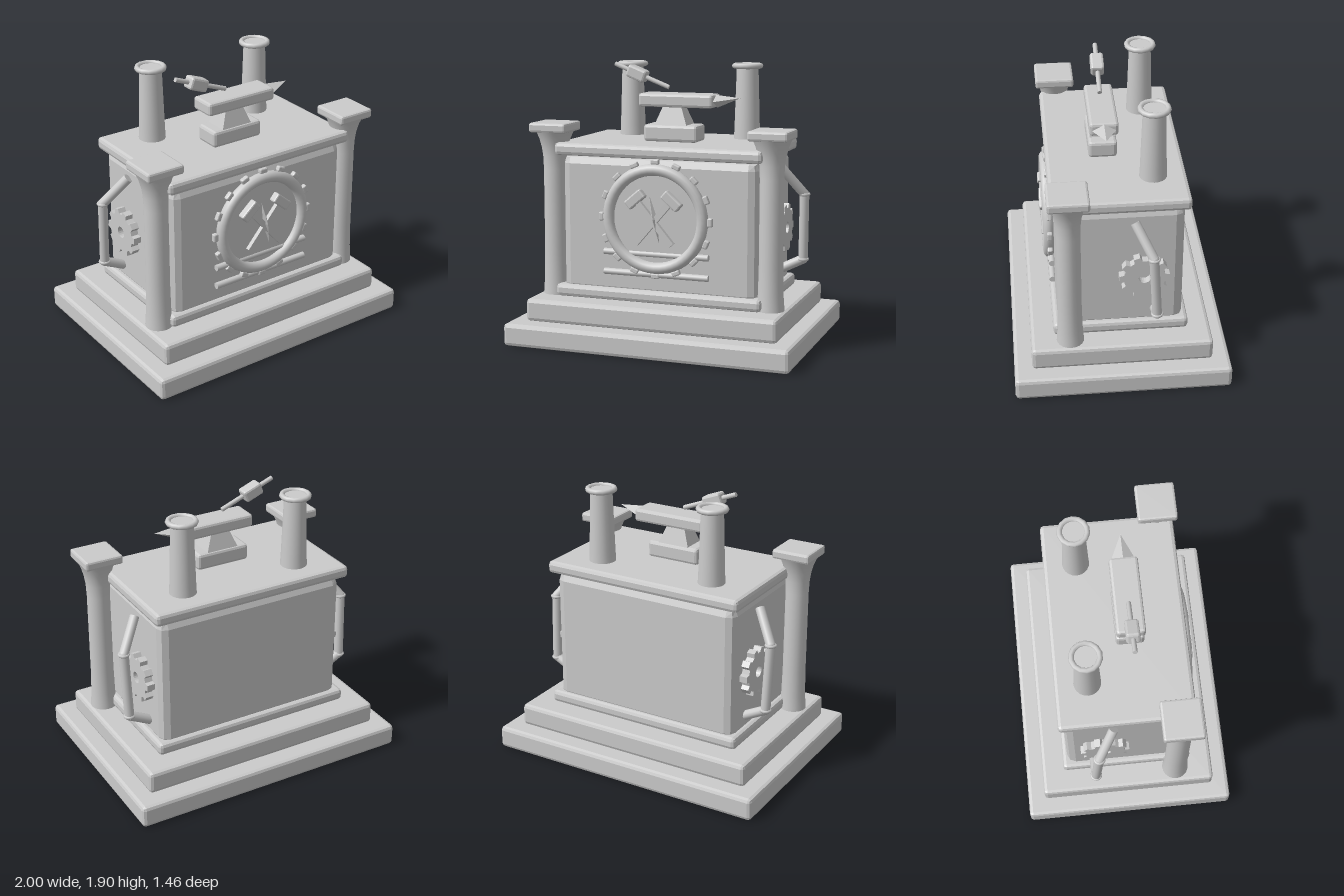
import * as THREE from 'three';
import { RoundedBoxGeometry } from 'three/addons/geometries/RoundedBoxGeometry.js';

const smooth = new THREE.MeshStandardMaterial({ color: 0xcccccc });
const flat = new THREE.MeshStandardMaterial({ color: 0xcccccc, flatShading: true });

export function createModel() {
  const model = new THREE.Group();

  const add = (name, geometry, x, y, z, material = flat, parent = model) => {
    const mesh = new THREE.Mesh(geometry, material);
    mesh.name = name;
    mesh.position.set(x, y, z);
    parent.add(mesh);
    return mesh;
  };
  // Box with chamfered edges, standing on y0
  const block = (name, w, y0, y1, d, bevel, x = 0, z = 0) =>
    add(name, new RoundedBoxGeometry(w, y1 - y0, d, 1, bevel), x, (y0 + y1) / 2, z);
  // Round bar between two points
  const rod = (name, a, b, r, parent = model, sides = 12) => {
    const from = new THREE.Vector3(...a), to = new THREE.Vector3(...b);
    const dir = to.clone().sub(from);
    const mid = from.clone().add(to).multiplyScalar(0.5);
    const mesh = add(name, new THREE.CylinderGeometry(r, r, dir.length(), sides), mid.x, mid.y, mid.z, smooth, parent);
    mesh.quaternion.setFromUnitVectors(new THREE.Vector3(0, 1, 0), dir.normalize());
    return mesh;
  };
  const lathe = (points, sides) =>
    new THREE.LatheGeometry(points.map(([r, y]) => new THREE.Vector2(r, y)), sides);

  // Stepped base, body and lid
  block('lowerStep', 2, 0, 0.155, 1.46, 0.025);
  block('upperStep', 1.77, 0.155, 0.31, 1.22, 0.025);
  block('plinth', 1.46, 0.31, 0.395, 0.91, 0.025);
  block('body', 1.38, 0.34, 1.29, 0.84, 0.06);
  block('lid', 1.46, 1.285, 1.37, 0.91, 0.025);

  // Front pillars with flared ends and square caps
  const pillar = lathe([[0.093, 0.3], [0.09, 0.34], [0.084, 0.42], [0.08, 0.6], [0.079, 1.18],
    [0.083, 1.27], [0.092, 1.33], [0.108, 1.39], [0.13, 1.44]], 20);
  // Chimneys with a rim and a recessed mouth
  const chimney = lathe([[0.092, 1.36], [0.088, 1.44], [0.075, 1.86]], 20);
  for (const s of [-1, 1]) {
    add('pillar', pillar, s * 0.77, 0, 0.345, smooth);
    block('pillarCap', 0.27, 1.435, 1.5, 0.27, 0.015, s * 0.77, 0.345);
    add('chimney', chimney, s * 0.425, 0, -0.235, smooth);
    const rim = add('chimneyRim', new THREE.TorusGeometry(0.09, 0.019, 8, 14), s * 0.425, 1.872, -0.235, smooth);
    rim.rotation.x = Math.PI / 2;
    add('chimneyMouth', new THREE.CylinderGeometry(0.085, 0.075, 0.02, 14), s * 0.425, 1.865, -0.235);
  }

  // Anvil
  const az = 0.072;
  block('anvilFoot', 0.385, 1.37, 1.485, 0.19, 0.02, 0, az);
  const waist = new THREE.CylinderGeometry(0.066 * Math.SQRT2, 0.115 * Math.SQRT2, 0.125, 4);
  waist.rotateY(Math.PI / 4).scale(1, 1, 0.72);
  add('anvilWaist', waist, 0, 1.545, az);
  block('anvilTop', 0.53, 1.605, 1.695, 0.19, 0.018, 0.035, az);
  const horn = new THREE.ConeGeometry(0.078, 0.17, 4);
  horn.rotateZ(-Math.PI / 2).scale(1, 0.56, 1);
  add('anvilHorn', horn, 0.385, 1.661, az).rotation.z = 0.15;

  // Raised hammer above the anvil
  const hammer = new THREE.Group();
  hammer.name = 'hammer';
  hammer.position.set(-0.235, 1.81, az);
  hammer.rotation.z = -0.37;
  model.add(hammer);
  rod('hammerHandle', [-0.21, 0, 0], [0.21, 0, 0], 0.016, hammer, 8);
  add('hammerHead', new RoundedBoxGeometry(0.14, 0.085, 0.09, 1, 0.015), -0.035, 0, 0, flat, hammer);

  // Front medallion: ring, disc, studs and bars
  const cy = 0.887;
  add('medallionRing', new THREE.TorusGeometry(0.331, 0.039, 12, 48), 0, cy, 0.45, smooth);
  const disc = add('medallionDisc', new THREE.CylinderGeometry(0.33, 0.33, 0.04, 48), 0, cy, 0.43);
  disc.rotation.x = Math.PI / 2;
  const stud = new RoundedBoxGeometry(0.058, 0.035, 0.035, 1, 0.008);
  for (let i = 0; i < 16; i++) {
    const a = (i * Math.PI) / 8;
    add('medallionStud', stud, -0.384 * Math.sin(a), cy + 0.384 * Math.cos(a), 0.447).rotation.z = a;
  }
  for (const y of [0.647, 0.51]) rod('frontBar', [-0.37, y, 0.437], [0.37, y, 0.437], 0.022);

  // Crossed tools with a slim blade between them
  for (const s of [-1, 1]) {
    const tool = new THREE.Group();
    tool.name = 'crossedTool';
    tool.position.set(s * 0.003, 0.875, 0.478);
    tool.rotation.z = -s * 0.71;
    model.add(tool);
    add('toolHandle', new THREE.BoxGeometry(0.04, 0.38, 0.03), 0, -0.01, 0, flat, tool);
    add('toolHead', new RoundedBoxGeometry(0.145, 0.068, 0.055, 1, 0.01), 0, 0.192, 0, flat, tool);
  }
  const blade = new THREE.OctahedronGeometry(1).scale(0.022, 0.165, 0.03);
  add('emblemBlade', blade, 0.005, 0.89, 0.478).rotation.z = 0.21;

  // Side gears
  const outline = new THREE.Shape();
  const teeth = 10;
  for (let i = 0; i < teeth; i++) {
    [[-0.32, 0.138], [-0.2, 0.168], [0.2, 0.168], [0.32, 0.138]].forEach(([t, r], k) => {
      const a = ((i + t) / teeth) * Math.PI * 2;
      const x = r * Math.cos(a), y = r * Math.sin(a);
      if (i + k === 0) outline.moveTo(x, y);
      else outline.lineTo(x, y);
    });
  }
  outline.closePath();
  outline.holes.push(new THREE.Path().absarc(0, 0, 0.04, 0, Math.PI * 2, true));
  const gear = new THREE.ExtrudeGeometry(outline, { depth: 0.06, bevelEnabled: false, curveSegments: 10 });
  gear.translate(0, 0, -0.03).rotateY(Math.PI / 2);

  // Bent side pipes with collars at the joints
  for (const s of [-1, 1]) {
    add('sideGear', gear, s * 0.715, 0.774, -0.153);
    const path = [[0.71, 1.2, -0.09], [0.85, 1.005, -0.2], [0.84, 0.545, -0.228], [0.69, 0.47, -0.23]]
      .map(([x, y, z]) => [s * x, y, z]);
    for (let i = 0; i < 3; i++) rod('sidePipe', path[i], path[i + 1], 0.033);
    for (const p of path.slice(1, 3)) {
      add('pipeElbow', new THREE.SphereGeometry(0.033, 12, 8), ...p, smooth);
      const collar = add('pipeCollar', new THREE.TorusGeometry(0.031, 0.011, 6, 14), ...p, smooth);
      collar.rotation.x = Math.PI / 2;
    }
  }
  return model;
}
